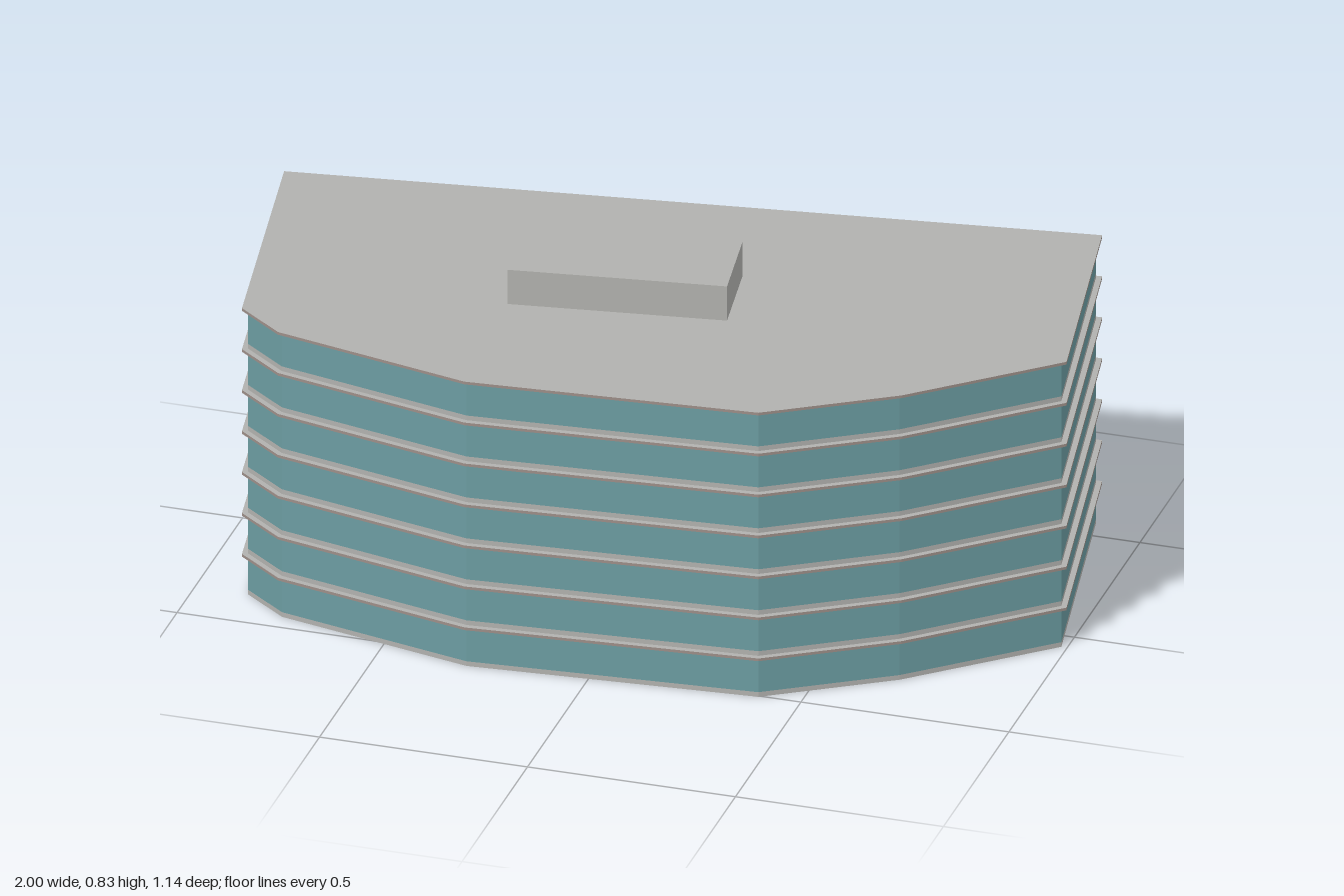
import * as THREE from 'three';

const FLOORS = 7, STOREY = 0.1055, SLAB = 0.007, CURB = 0.012;

// Slab footprint as [x, z], clockwise seen from above
const OUTLINE = [
  [-1, -0.317], [0.886, -0.573], [1, 0.06], [0.69, 0.335],
  [0.403, 0.517], [-0.287, 0.57], [-0.77, 0.46], [-0.885, 0.37],
];
const PENTHOUSE = [[-0.34, -0.058], [0.162, -0.125], [0.195, 0.096], [-0.31, 0.167]];

// Move every edge of an outline inwards by d
function inset(points, d) {
  const n = points.length;
  const normal = (a, b) => {
    const l = Math.hypot(b[0] - a[0], b[1] - a[1]);
    return [-(b[1] - a[1]) / l, (b[0] - a[0]) / l];
  };
  return points.map((p, i) => {
    const m = normal(points[(i + n - 1) % n], p);
    const k = normal(p, points[(i + 1) % n]);
    const s = d / (1 + m[0] * k[0] + m[1] * k[1]);
    return [p[0] + (m[0] + k[0]) * s, p[1] + (m[1] + k[1]) * s];
  });
}

// Solid prism on an outline, with its base at height y
function prism(points, y, height) {
  const shape = new THREE.Shape(points.map(([x, z]) => new THREE.Vector2(x, -z)));
  const g = new THREE.ExtrudeGeometry(shape, { depth: height, bevelEnabled: false });
  return g.rotateX(-Math.PI / 2).translate(0, y, 0);
}

// Open band of flat wall panels around an outline
function band(points, y0, y1) {
  const pos = [];
  points.forEach(([ax, az], i) => {
    const [bx, bz] = points[(i + 1) % points.length];
    pos.push(ax, y0, az, bx, y1, bz, bx, y0, bz);
    pos.push(ax, y0, az, ax, y1, az, bx, y1, bz);
  });
  const g = new THREE.BufferGeometry();
  g.setAttribute('position', new THREE.Float32BufferAttribute(pos, 3));
  g.computeVertexNormals();
  return g;
}

export function createModel() {
  const group = new THREE.Group();
  group.name = 'officeBuilding';
  const material = (name, color, side = THREE.FrontSide) => {
    const m = new THREE.MeshStandardMaterial({ color, side });
    m.name = name;
    return m;
  };
  const concrete = material('concrete', 0xb1b1ae, THREE.DoubleSide);
  const edge = material('slabEdge', 0x9c8e88);
  const glass = material('tealGlass', 0x6b9ca1, THREE.DoubleSide);

  const add = (name, geometry, mat) => {
    const mesh = new THREE.Mesh(geometry, mat);
    mesh.name = name;
    group.add(mesh);
  };

  // Storeys: low curb, glass wall and overhanging slab, open at the ground
  const wall = inset(OUTLINE, 0.013);
  for (let i = 0; i < FLOORS; i++) {
    const y = i * STOREY, top = y + STOREY;
    add('curb' + i, band(wall, y, y + CURB), concrete);
    add('glassWall' + i, band(wall, y + CURB, top - SLAB), glass);
    const name = i === FLOORS - 1 ? 'roofSlab' : 'floorSlab' + (i + 1);
    add(name, prism(OUTLINE, top - SLAB, SLAB), [concrete, edge]);
  }

  // Plant room on the roof
  add('roofPlantRoom', prism(PENTHOUSE, FLOORS * STOREY, 0.088), concrete);
  return group;
}
